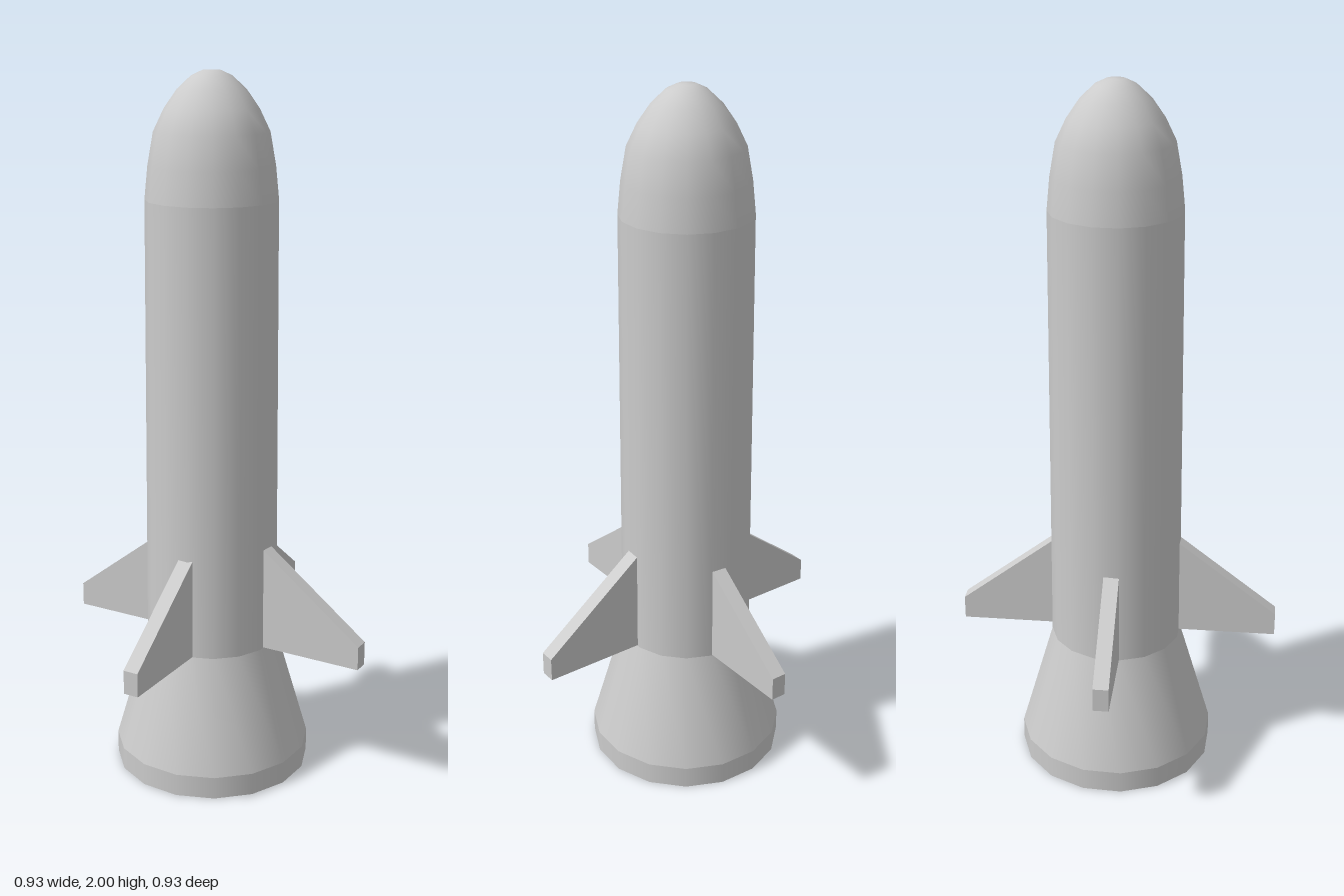
import * as THREE from 'three';

const material = new THREE.MeshStandardMaterial({ color: 0xcccccc });

// Turned part with 16 sides; the profile runs so that its left side faces inward
function turned(name, profile) {
  const points = profile.map(([r, y]) => new THREE.Vector2(r, y));
  const geometry = new THREE.LatheGeometry(points, 16, THREE.MathUtils.degToRad(8.7));
  const mesh = new THREE.Mesh(geometry, material);
  mesh.name = name;
  return mesh;
}

export function createModel() {
  const model = new THREE.Group();
  model.name = 'rocket';

  // Fuselage, nozzle and engine share one slightly offset axis
  const hull = new THREE.Group();
  hull.name = 'hull';
  hull.position.set(-0.02, 0, -0.006);
  hull.add(
    turned('fuselage', [[0.19, 0.39], [0.182, 1.66]]),
    turned('noseCone', [
      [0.182, 1.66], [0.173, 1.75], [0.157, 1.84], [0.128, 1.9],
      [0.093, 1.95], [0.055, 1.985], [0.025, 1.999], [0, 2],
    ]),
    turned('nozzleSkirt', [[0.284, 0.065], [0.19, 0.39]]),
    turned('nozzleBand', [[0.284, 0], [0.284, 0.065]]),
    turned('nozzleRim', [[0.245, 0], [0.284, 0]]),
    turned('nozzleInside', [[0.145, 0.18], [0.245, 0]]),
    turned('throatRing', [[0.1, 0.18], [0.145, 0.18]]),
    turned('throat', [[0.1, 0.38], [0.1, 0.18]]),
    turned('throatEnd', [[0, 0.38], [0.1, 0.38]]),
  );
  model.add(hull);

  // Four swept fins, their roots sunk into the fuselage
  const outline = new THREE.Shape([
    new THREE.Vector2(0.14, 0.392),
    new THREE.Vector2(0.463, 0.392),
    new THREE.Vector2(0.463, 0.46),
    new THREE.Vector2(0.14, 0.708),
  ]);
  const thickness = 0.044;
  const finGeometry = new THREE.ExtrudeGeometry(outline, { depth: thickness, bevelEnabled: false });
  finGeometry.translate(0, 0, -thickness / 2);
  ['leftFin', 'backFin', 'rightFin', 'frontFin'].forEach((name, i) => {
    const fin = new THREE.Mesh(finGeometry, material);
    fin.name = name;
    fin.rotation.y = i * Math.PI / 2;
    model.add(fin);
  });

  return model;
}
